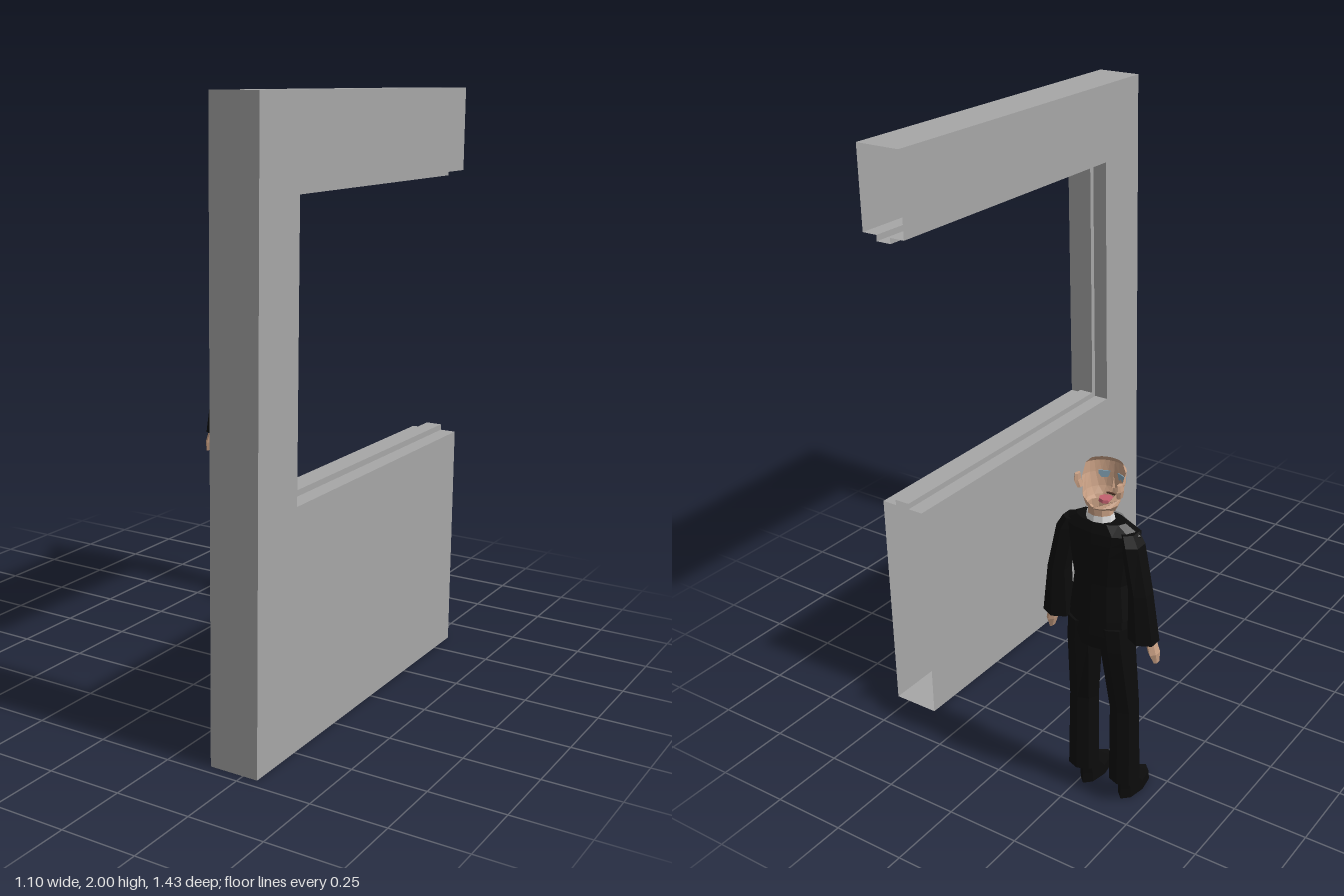
import * as THREE from 'three';

const mat = (name, color) => {
  const m = new THREE.MeshStandardMaterial({ color, flatShading: true, side: THREE.DoubleSide });
  m.name = name;
  return m;
};

function add(parent, name, geometry, material) {
  const mesh = new THREE.Mesh(geometry, material);
  mesh.name = name;
  parent.add(mesh);
  return mesh;
}

// Quad surface through rows of points
function surface(rows, extra = []) {
  const pos = [];
  for (let i = 0; i < rows.length - 1; i++) {
    for (let j = 0; j < rows[i].length - 1; j++) {
      const a = rows[i][j], b = rows[i][j + 1], c = rows[i + 1][j + 1], d = rows[i + 1][j];
      pos.push(...a, ...b, ...c, ...a, ...c, ...d);
    }
  }
  pos.push(...extra);
  const g = new THREE.BufferGeometry();
  g.setAttribute('position', new THREE.Float32BufferAttribute(pos, 3));
  g.computeVertexNormals();
  return g;
}

// Loft through elliptical rings [y, cx, cz, rx, rz, arc], listed bottom to top
function loft(rings, sides = 10, capped = true) {
  const rows = rings.map(([y, cx, cz, rx, rz, arc = Math.PI * 2]) =>
    Array.from({ length: sides + 1 }, (_, j) => {
      const a = -arc / 2 + (arc * j) / sides;
      return [cx + rx * Math.sin(a), y, cz + rz * Math.cos(a)];
    }));
  const caps = [];
  if (capped) {
    const end = rings.length - 1;
    for (let j = 0; j < sides; j++) {
      const [y0, x0, z0] = rings[0], [y1, x1, z1] = rings[end];
      caps.push(...rows[0][j + 1], ...rows[0][j], x0, y0, z0);
      caps.push(...rows[end][j], ...rows[end][j + 1], x1, y1, z1);
    }
  }
  return surface(rows, caps);
}

function buildWall(grey) {
  const wall = new THREE.Group();
  wall.name = 'wall';
  const x0 = 0.385, x1 = 0.55, back = -0.615, front = 0.715;
  // Opening outline [z, y], set in by depth d
  const opening = d => [[back, 0.787 + d], [0.497 - d, 0.787 + d], [0.497 - d, 1.72 - d], [back, 1.72 - d]];
  const outer = [[back, 2], [front, 2], [front, 0], [back, 0]];

  // C-shaped side panels
  const outline = [...outer, ...opening(0)].map(p => new THREE.Vector2(...p));
  for (const [name, x] of [['innerPanel', x0], ['outerPanel', x1]]) {
    const g = new THREE.ShapeGeometry(new THREE.Shape(outline)).rotateY(-Math.PI / 2);
    add(wall, name, g, grey).position.x = x;
  }
  // Top, front edge and bottom; the back end stays open
  add(wall, 'outerEdge', surface([x0, x1].map(x => outer.map(([z, y]) => [x, y, z]))), grey);
  // Opening frame with a raised stop along its middle
  const profile = [[x0, 0], [0.44, 0], [0.44, 0.02], [0.495, 0.02], [0.495, 0], [x1, 0]];
  add(wall, 'openingFrame', surface(profile.map(([x, d]) => opening(d).map(([z, y]) => [x, y, z]))), grey);
  return wall;
}

function buildMan() {
  const suit = mat('black suit', 0x0c0c0c);
  const skin = mat('skin', 0xc9a084);
  const white = mat('white shirt', 0xdcdcdc);
  const blue = mat('pale blue eyes', 0x86a6b8);
  const pink = mat('pink tongue', 0xc4616f);
  const brown = mat('dark mouth', 0x5a3b2e);
  const man = new THREE.Group();
  man.name = 'man';
  man.position.set(-0.345, 0, -0.64);

  // Jacket and trouser seat
  add(man, 'jacket', loft([
    [0.685, 0, -0.005, 0.11, 0.068], [0.8, 0, 0, 0.096, 0.06], [0.9, 0, 0.002, 0.112, 0.066],
    [0.94, 0, 0.002, 0.125, 0.067], [0.975, 0, 0, 0.135, 0.062], [1.005, 0, -0.005, 0.085, 0.045],
  ], 12), suit);
  add(man, 'trouserSeat', loft([[0.58, 0, -0.01, 0.095, 0.056], [0.63, 0, -0.012, 0.112, 0.064], [0.7, 0, -0.008, 0.106, 0.062]], 12), suit);
  // Shirt front lies on the matching facets of the jacket
  const sixth = Math.PI / 3;
  add(man, 'shirtFront', loft([
    [0.94, 0, 0.005, 0.1, 0.067, sixth], [0.975, 0, 0.003, 0.115, 0.063, sixth], [1.008, 0, -0.002, 0.088, 0.046, sixth],
  ], 2, false), white);
  add(man, 'collar', loft([[0.99, 0, -0.01, 0.05, 0.04], [1.025, 0, -0.01, 0.043, 0.036]], 10, false), white);
  add(man, 'neck', loft([[1.0, 0, -0.01, 0.04, 0.033], [1.05, 0, -0.01, 0.04, 0.034]], 10, false), skin);

  // Head: a face shell, open at the top and back
  add(man, 'head', loft([
    [1.025, 0, 0.012, 0.036, 0.036], [1.052, 0, 0, 0.053, 0.052], [1.075, 0, 0.002, 0.06, 0.058, 4.6],
    [1.12, 0, 0.004, 0.07, 0.06, 3.4], [1.155, 0, 0.004, 0.072, 0.064, 2.7], [1.17, 0, 0.004, 0.062, 0.056, 2.3],
  ], 12, false), skin);
  add(man, 'nose', new THREE.ConeGeometry(0.01, 0.035, 4), skin).position.set(0, 1.09, 0.062);
  add(man, 'mouth', new THREE.BoxGeometry(0.034, 0.005, 0.006), brown).position.set(0, 1.056, 0.051);
  add(man, 'tongue', loft([[1.045, 0, 0.022, 0.026, 0.022], [1.055, 0, 0.022, 0.024, 0.02]], 8), pink);

  for (const s of [1, -1]) {
    const side = s > 0 ? 'left' : 'right';
    const limb = (name, rings, material, sides = 8) =>
      add(man, side + name, loft(rings.map(([y, cx, ...rest]) => [y, s * cx, ...rest]), sides), material);
    // Face details
    limb('Ear', [[1.09, 0.07, -0.015, 0.008, 0.012], [1.115, 0.075, -0.018, 0.008, 0.018], [1.135, 0.074, -0.02, 0.007, 0.012]], skin, 6);
    const eye = add(man, side + 'Eye', new THREE.BoxGeometry(0.036, 0.022, 0.008), blue);
    eye.position.set(s * 0.03, 1.112, 0.059);
    eye.rotation.y = s * 0.42;
    // Arm
    limb('Sleeve', [
      [0.635, 0.155, -0.015, 0.05, 0.043], [0.8, 0.146, -0.018, 0.036, 0.04],
      [0.95, 0.115, -0.012, 0.034, 0.042], [0.985, 0.1, -0.01, 0.028, 0.034],
    ], suit, 6);
    limb('Hand', [[0.56, 0.192, 0, 0.007, 0.014], [0.595, 0.187, -0.005, 0.016, 0.025], [0.645, 0.175, -0.01, 0.016, 0.02]], skin, 6);
    // Leg and shoe
    limb('TrouserLeg', [
      [0.08, 0.077, 0, 0.053, 0.045], [0.35, 0.075, 0.005, 0.05, 0.042],
      [0.58, 0.06, -0.01, 0.054, 0.058], [0.66, 0.055, -0.012, 0.054, 0.06],
    ], suit);
    limb('Shoe', [[0, 0.073, 0.064, 0.034, 0.079], [0.035, 0.073, 0.062, 0.034, 0.077], [0.09, 0.073, 0.02, 0.03, 0.035]], suit);
  }
  return man;
}

export function createModel() {
  const model = new THREE.Group();
  model.name = 'manBesideWall';
  model.add(buildWall(mat('wall grey', 0xa6a6a6)), buildMan());
  return model;
}
